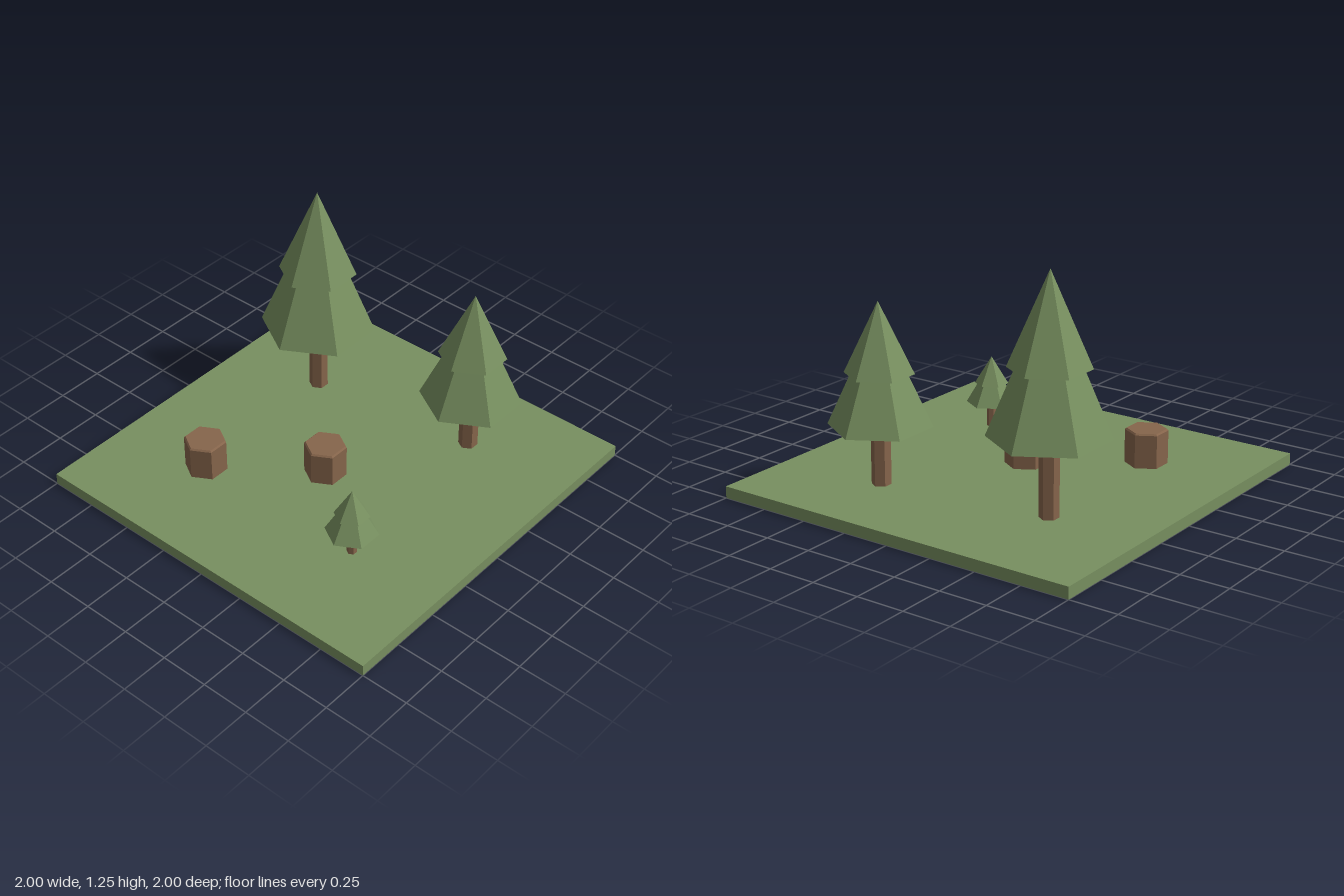
import * as THREE from 'three';

const green = new THREE.MeshStandardMaterial({ name: 'leaf green', color: 0x789060, flatShading: true });
const brown = new THREE.MeshStandardMaterial({ name: 'bark brown', color: 0x86654b, flatShading: true });

const GROUND = 0.06;

// Six-sided prism, frustum or cone between two heights
function hex(name, material, rBottom, rTop, y0, y1) {
  const geometry = rTop > 0
    ? new THREE.CylinderGeometry(rTop, rBottom, y1 - y0, 6)
    : new THREE.ConeGeometry(rBottom, y1 - y0, 6);
  const mesh = new THREE.Mesh(geometry, material);
  mesh.name = name;
  mesh.position.y = (y0 + y1) / 2;
  return mesh;
}

// Trunk with two overlapping tiers of foliage
function makeTree({ x, z, trunk, lower, upper, y0, y1, y2 }) {
  const tree = new THREE.Group();
  tree.name = 'tree';
  tree.position.set(x, 0, z);
  tree.add(
    hex('trunk', brown, trunk, trunk, GROUND, y0 + 0.01),
    hex('lowerFoliage', green, lower, lower * 0.53, y0, y1 + 0.002),
    hex('upperFoliage', green, upper, 0, y1, y2),
  );
  return tree;
}

// Cut stump with a slim bevelled rim
function makeStump(x, z) {
  const stump = new THREE.Group();
  stump.name = 'stump';
  stump.position.set(x, 0, z);
  stump.add(
    hex('stumpBody', brown, 0.108, 0.108, GROUND, 0.232),
    hex('stumpTop', brown, 0.108, 0.1, 0.232, 0.24),
  );
  return stump;
}

export function createModel() {
  const model = new THREE.Group();
  model.name = 'forestClearing';

  const ground = new THREE.Mesh(new THREE.BoxGeometry(2, GROUND, 2), green);
  ground.name = 'ground';
  ground.position.y = GROUND / 2;
  model.add(ground);

  // Large, medium and small trees
  const trees = [
    { x: -0.49, z: -0.41, trunk: 0.049, lower: 0.298, upper: 0.2, y0: 0.45, y1: 0.785, y2: 1.25 },
    { x: 0.413, z: -0.53, trunk: 0.049, lower: 0.258, upper: 0.172, y0: 0.36, y1: 0.622, y2: 0.98 },
    { x: 0.482, z: 0.465, trunk: 0.025, lower: 0.132, upper: 0.088, y0: 0.19, y1: 0.295, y2: 0.44 },
  ];
  for (const t of trees) model.add(makeTree(t));

  for (const [x, z] of [[0.008, 0.11], [-0.473, 0.467]]) model.add(makeStump(x, z));

  return model;
}
